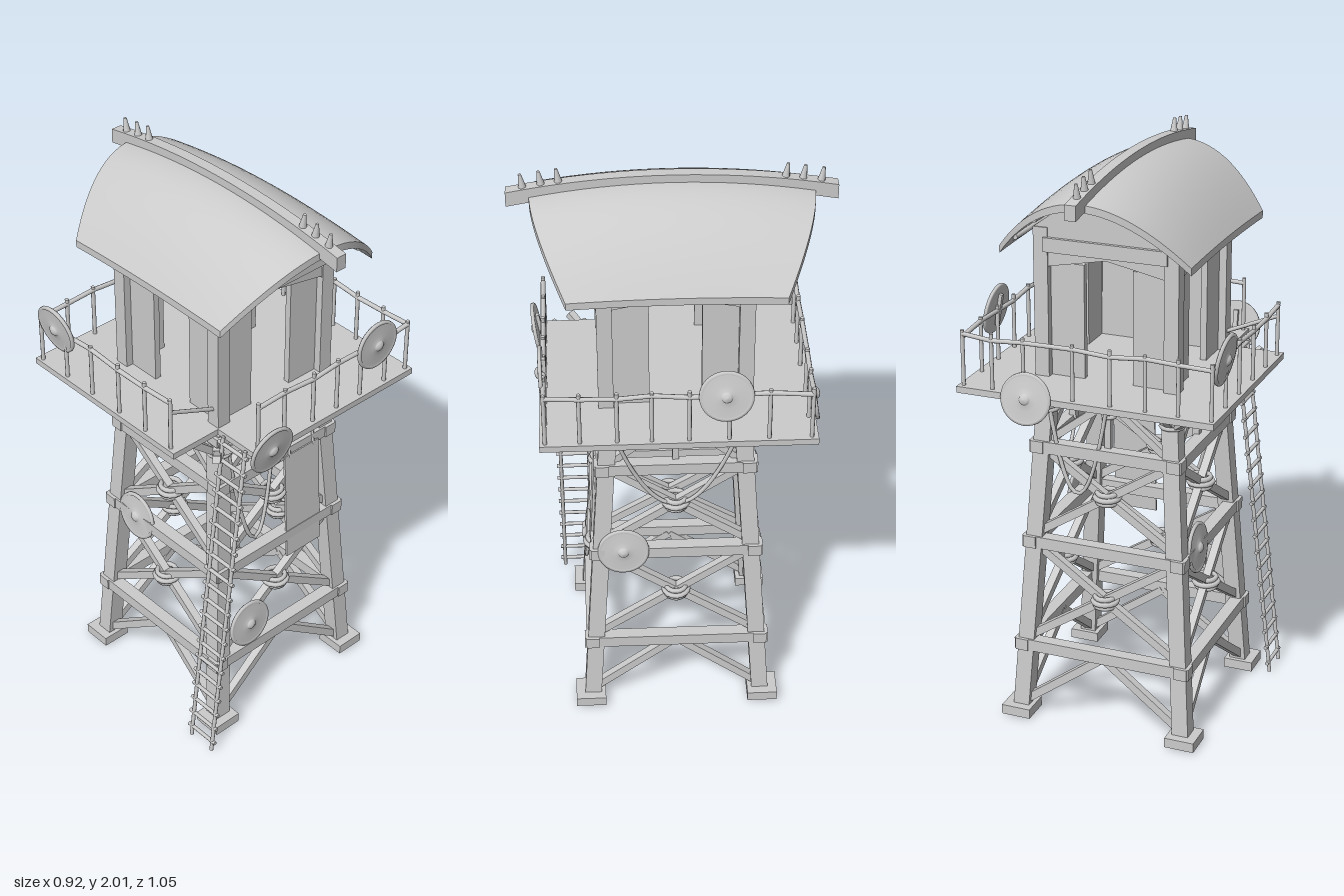
import * as THREE from 'three';

const mat = new THREE.MeshStandardMaterial({ color: 0xcccccc, side: THREE.DoubleSide });
const V = (x, y, z) => new THREE.Vector3(x, y, z);

export function createModel() {
  const model = new THREE.Group();

  const add = (name, geo, parent = model) => {
    const m = new THREE.Mesh(geo, mat);
    m.name = name;
    parent.add(m);
    return m;
  };
  const box = (name, w, h, d, x, y, z, parent) => {
    const m = add(name, new THREE.BoxGeometry(w, h, d), parent);
    m.position.set(x, y, z);
    return m;
  };
  // square timber between two points
  const beam = (name, a, b, w, h, parent) => {
    const m = add(name, new THREE.BoxGeometry(w, h, a.distanceTo(b)), parent);
    m.position.copy(a).add(b).multiplyScalar(0.5);
    m.quaternion.setFromRotationMatrix(new THREE.Matrix4().lookAt(b, a, V(0, 1, 0)));
    return m;
  };
  // round pole between two points
  const rod = (name, a, b, r, parent) => {
    const m = add(name, new THREE.CylinderGeometry(r, r, a.distanceTo(b), 8), parent);
    m.position.copy(a).add(b).multiplyScalar(0.5);
    m.quaternion.setFromUnitVectors(V(0, 1, 0), b.clone().sub(a).normalize());
    return m;
  };
  // flat rope ring
  const ring = (name, r, tube, p, parent) => {
    const t = add(name, new THREE.TorusGeometry(r, tube, 6, 16), parent);
    t.rotation.x = Math.PI / 2;
    t.position.copy(p);
  };
  const group = (name) => {
    const g = new THREE.Group();
    g.name = name;
    model.add(g);
    return g;
  };

  // legs lean inward as they rise
  const legAt = (y) => 0.3 - 0.08 * (y / 1.2);
  for (const sx of [-1, 1]) for (const sz of [-1, 1]) {
    const at = (y) => V(sx * legAt(y), y, sz * legAt(y));
    const legGeo = new THREE.BoxGeometry(0.058, 1.19, 0.058).translate(0, 0.625, 0);
    const lp = legGeo.attributes.position;
    for (let i = 0; i < lp.count; i++) {
      const c = at(lp.getY(i));
      lp.setXYZ(i, lp.getX(i) + c.x, c.y, lp.getZ(i) + c.z);
    }
    legGeo.computeVertexNormals();
    add('leg', legGeo);
    box('footPad', 0.105, 0.035, 0.105, sx * 0.305, 0.027, sz * 0.305);
    // outward brackets under the deck
    const c = legAt(1.13);
    beam('bracket', V(sx * c, 1.13, sz * c), V(sx * 0.34, 1.23, sz * c), 0.025, 0.025);
    beam('bracket', V(sx * c, 1.13, sz * c), V(sx * c, 1.23, sz * 0.34), 0.025, 0.025);
    beam('bracket', V(sx * c, 1.13, sz * c), V(sx * 0.34, 1.23, sz * 0.34), 0.025, 0.025);
    // rope lashing near the top of each leg
    for (let i = 0; i < 3; i++) ring('legLashing', 0.038, 0.008, at(1.14 + i * 0.015));
  }

  // the same bracing on all four faces
  for (let i = 0; i < 4; i++) {
    const face = group('towerFace');
    face.rotation.y = i * Math.PI / 2;
    for (const y of [0.277, 0.663, 1.008, 1.2]) {
      const c = legAt(y);
      box('ringBeam', 2 * c + 0.08, y > 1.1 ? 0.032 : 0.042, 0.045, 0, y, c + 0.012, face);
    }
    const P = (s, y, k = 1) => V(s * k * legAt(y), y, legAt(y));
    for (const s of [-1, 1]) {
      beam('footBrace', P(s, 0.06, 0.95), V(0, 0.265, legAt(0.265)), 0.028, 0.028, face);
      beam('crossBrace', P(s, 0.3), P(-s, 0.65), 0.028, 0.028, face);
      beam('crossBrace', P(s, 0.69), P(-s, 1.0), 0.028, 0.028, face);
      beam('topBrace', P(s, 1.03, 0.9), V(0, 1.19, legAt(1.19)), 0.025, 0.025, face);
    }
    box('topStrut', 0.022, 0.18, 0.025, 0, 1.11, legAt(1.1), face);
    // lashings where the braces cross and at the top strut
    for (const y of [0.48, 0.855]) for (let k = -1; k <= 1; k++)
      ring('braceLashing', k ? 0.034 : 0.042, 0.009, V(0, y + k * 0.016, legAt(y)), face);
    for (let k = 0; k < 3; k++)
      ring('strutLashing', 0.02, 0.007, V(0, 1.14 + k * 0.014, legAt(1.15)), face);
  }

  // joists in both directions
  for (const p of [-0.21, -0.07, 0.07, 0.21]) {
    box('joist', 0.03, 0.025, 0.76, p, 1.228, 0);
    box('joist', 0.76, 0.025, 0.03, 0, 1.22, p);
  }

  // deck with a notch for the ladder
  const plan = new THREE.Shape([[-0.445, 0.447], [0.447, 0.447], [0.447, -0.443], [-0.255, -0.443],
    [-0.255, -0.255], [-0.445, -0.255]].map(([x, y]) => new THREE.Vector2(x, y)));
  const deck = add('deck', new THREE.ExtrudeGeometry(plan, { depth: 0.022, bevelEnabled: false }));
  deck.rotation.x = -Math.PI / 2;
  deck.position.y = 1.238;

  // railing, slightly crooked
  const rail = group('railing');
  const corners = [[-0.24, 0.425], [0.43, 0.425], [0.43, -0.425], [-0.43, -0.425], [-0.43, 0.225]];
  const sides = [[0, 0.17, 0.36, 0.52, 0.68, 0.85], [0, 0.13, 0.27, 0.4, 0.54, 0.69, 0.84],
    [0, 0.12, 0.25, 0.45, 0.6, 0.74, 0.87], [0, 0.2, 0.4, 0.61, 0.81]];
  sides.forEach((stops, i) => {
    const [x0, z0] = corners[i], [x1, z1] = corners[i + 1];
    const pts = [...stops, 1].map((t, k) => V(x0 + (x1 - x0) * t, 1.432 + 0.006 * Math.sin(k * 2.3 + i), z0 + (z1 - z0) * t));
    pts.forEach((p, k) => {
      rod('railPost', V(p.x, 1.25, p.z), V(p.x, 1.45, p.z), 0.007, rail);
      if (k) rod('topRail', pts[k - 1], p, 0.008, rail);
    });
  });
  rod('fallenRail', V(-0.43, 1.4, 0.225), V(-0.22, 1.31, 0.225), 0.007, rail);

  // ladder
  const ladder = group('ladder');
  const rungs = 20, lad = (t, z) => V(-0.415 + 0.15 * t, 0.005 + 1.25 * t, z);
  for (const z of [0.29, 0.393]) rod('ladderRail', lad(0, z), lad(1, z), 0.007, ladder);
  for (let i = 0; i < rungs; i++) {
    const t = (i + 0.6) / rungs;
    rod('rung', lad(t, 0.272), lad(t, 0.408), 0.007, ladder);
  }

  // cabin: posts, wall panels either side of four openings, peaked headers
  for (const sx of [-1, 1]) for (const sz of [-1, 1])
    box('cabinPost', 0.05, 0.52, 0.05, sx * 0.227, 1.51, sz * 0.227);
  for (let i = 0; i < 4; i++) {
    const wall = group('cabinWall');
    wall.rotation.y = i * Math.PI / 2;
    for (const s of [-1, 1]) box('wallPanel', 0.13, 0.4, 0.022, s * 0.15, 1.45, 0.215, wall);
    const top = i % 2 ? [[0.25, 1.77], [-0.25, 1.77]] : [[0.25, 1.77], [0.13, 1.86], [0, 1.9], [-0.13, 1.86], [-0.25, 1.77]];
    const outline = [[-0.25, 1.6], [-0.215, 1.6], [-0.2, 1.64], [0, 1.68], [0.2, 1.64], [0.215, 1.6], [0.25, 1.6], ...top];
    const header = add('header', new THREE.ExtrudeGeometry(
      new THREE.Shape(outline.map(([x, y]) => new THREE.Vector2(x, y))), { depth: 0.035, bevelEnabled: false }), wall);
    header.position.z = 0.212;
    box('lintel', 0.43, 0.048, 0.02, 0, 1.714, 0.25, wall);
  }

  // bowed roof: a slab bent both ways, longer at the ridge than at the eaves
  const roofPoint = (u, v) => V(0.328 * u, 1.962 - 0.23 * u * u - 0.042 * v * v * (1 - 0.8 * u * u), v * (0.452 - 0.107 * u * u));
  const roofGeo = new THREE.BoxGeometry(2, 1, 2, 28, 1, 16);
  const rp = roofGeo.attributes.position;
  for (let i = 0; i < rp.count; i++) {
    const p = roofPoint(rp.getX(i), rp.getZ(i));
    rp.setXYZ(i, p.x, p.y + (rp.getY(i) - 0.5) * 0.025, p.z);
  }
  roofGeo.computeVertexNormals();
  add('roof', roofGeo);

  // purlins under the roof
  for (const u of [-0.85, -0.6, -0.3, 0.3, 0.6, 0.85]) {
    const a = roofPoint(u, -0.88), b = roofPoint(u, 0.88);
    a.y -= 0.03; b.y -= 0.03;
    rod('purlin', a, b, 0.009);
  }

  // curved ridge beam with blunt teeth at both ends
  const ridgeY = (z) => 1.963 - 0.05 * (z / 0.525) ** 2;
  const ridgeGeo = new THREE.BoxGeometry(0.038, 0.05, 1.05, 1, 1, 16);
  const gp = ridgeGeo.attributes.position;
  for (let i = 0; i < gp.count; i++) gp.setY(i, gp.getY(i) + ridgeY(gp.getZ(i)));
  ridgeGeo.computeVertexNormals();
  add('ridgeBeam', ridgeGeo);
  for (const s of [-1, 1]) for (const z of [0.36, 0.415, 0.473]) {
    const c = add('ridgeTooth', new THREE.CylinderGeometry(0.005, 0.014, 0.055, 10));
    c.position.set(0, ridgeY(z) + 0.043, s * z);
    c.rotation.x = s * 0.15;
  }

  // round shields with a boss in front and a grip behind
  const dish = new THREE.LatheGeometry([[0, -0.006], [0.084, -0.008], [0.088, -0.004], [0.087, 0.004], [0.078, 0.005],
    [0.076, 0.002], [0.04, 0.006], [0.02, 0.007], [0.018, 0.012], [0.011, 0.017], [0, 0.019]].map(([r, y]) => new THREE.Vector2(r, y)), 32);
  dish.rotateX(Math.PI / 2);
  const H = Math.PI / 2;
  for (const [x, y, z, turn, tilt] of [
    [-0.205, 1.265, 0.453, 0, 0.17], [0.28, 1.43, 0.433, 0, 0.03],
    [0.441, 1.435, -0.15, H, -0.17], [-0.441, 1.435, -0.33, -H, 0.17],
    [0.195, 1.255, -0.457, 2 * H, -0.17], [-0.155, 0.385, 0.305, 0, -0.08],
    [0.292, 0.677, 0.18, H, -0.08], [-0.285, 0.672, -0.135, -H, -0.08]]) {
    const g = group('shield');
    g.position.set(x, y, z);
    g.rotation.set(tilt, turn, 0, 'YXZ');
    add('shieldFace', dish, g);
    box('shieldGrip', 0.016, 0.11, 0.012, 0, 0, -0.013, g);
  }

  // hanging banner with ties
  const banner = group('banner');
  beam('bannerCloth', V(0.11, 0.575, 0.29), V(0.11, 1, 0.268), 0.158, 0.008, banner);
  for (const x of [0.055, 0.165]) rod('bannerTie', V(x, 0.99, 0.27), V(x, 1.2, 0.245), 0.005, banner);

  // slack ropes
  const rope = (a, low, b) => {
    const mid = a.clone().add(b).multiplyScalar(0.5), sag = low.clone().sub(mid), pts = [];
    for (let i = 0; i <= 12; i++) {
      const t = i / 12;
      pts.push(a.clone().lerp(b, t).addScaledVector(sag, 4 * t * (1 - t)));
    }
    add('rope', new THREE.TubeGeometry(new THREE.CatmullRomCurve3(pts), 32, 0.007, 6));
  };
  rope(V(-0.21, 1.16, 0.25), V(-0.1, 0.725, 0.27), V(0, 1.16, 0.25));
  rope(V(0.29, 1.19, 0.21), V(0.265, 0.86, 0), V(0.29, 1.19, -0.21));
  rope(V(0.21, 1.19, -0.25), V(0.1, 0.86, -0.265), V(0, 1.17, -0.25));
  return model;
}
